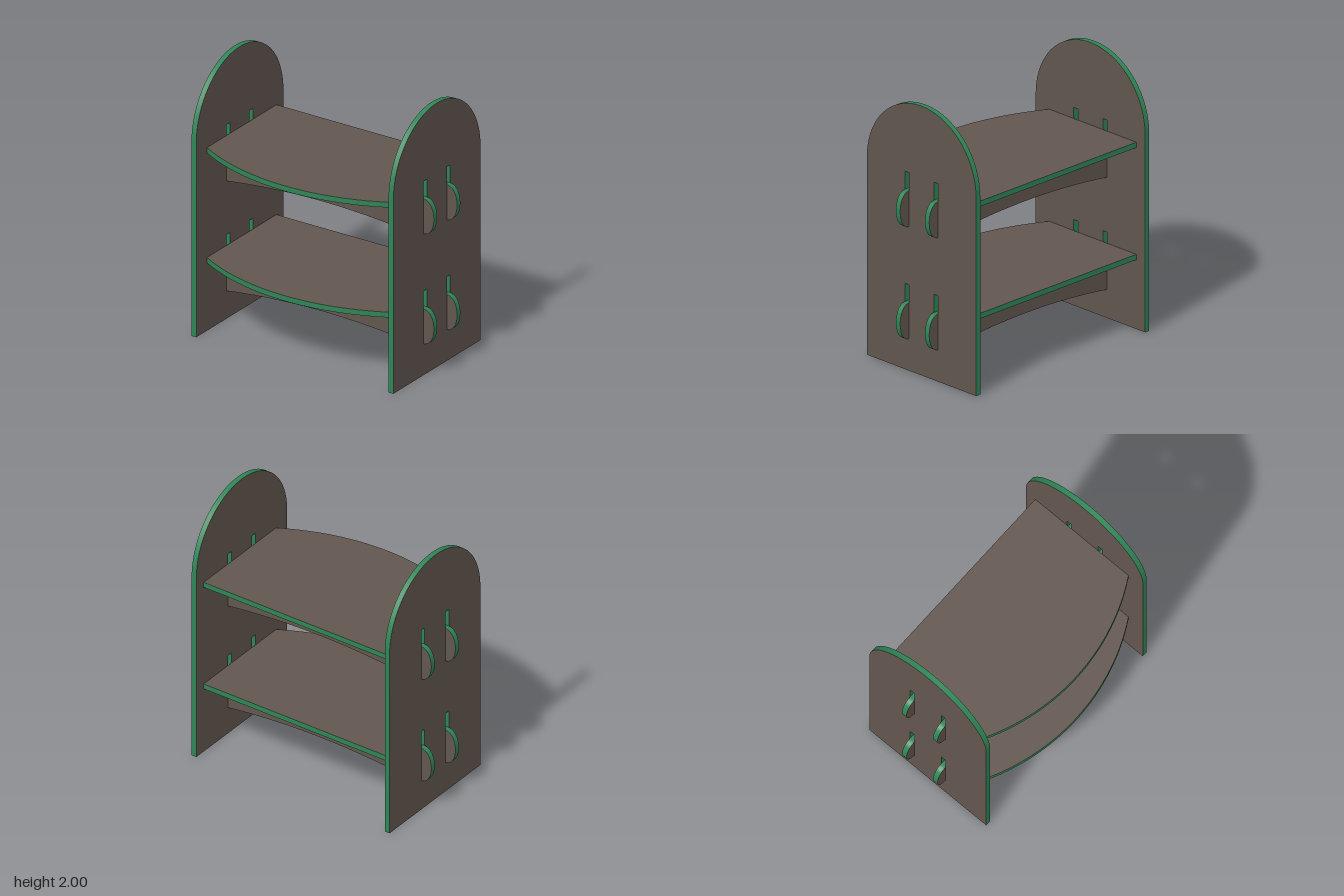
import * as THREE from 'three';
import { toCreasedNormals } from 'three/addons/utils/BufferGeometryUtils.js';

const T = 0.04;                      // board thickness
const BEAM_Z = [0.1, -0.183];        // the two beams under each shelf
const SHELF_TOP = [0.555, 1.388];

function rect(x0, y0, x1, y1, Type = THREE.Shape) {
  const s = new Type();
  s.moveTo(x0, y0);
  s.lineTo(x1, y0);
  s.lineTo(x1, y1);
  s.lineTo(x0, y1);
  s.closePath();
  return s;
}

function board(shape, depth) {
  const g = new THREE.ExtrudeGeometry(shape, { depth, bevelEnabled: false, curveSegments: 32 });
  return toCreasedNormals(g, 0.6);
}

export function createModel() {
  const face = new THREE.MeshStandardMaterial({ color: 0x62564f });
  face.name = 'brown face';
  const edge = new THREE.MeshStandardMaterial({ color: 0x2f8557 });
  edge.name = 'green edge';

  const model = new THREE.Group();
  model.name = 'shelfUnit';
  const add = (name, geometry, material, parent = model) => {
    const m = new THREE.Mesh(geometry, material);
    m.name = name;
    parent.add(m);
    return m;
  };

  // Side panel outline in (-z, y): round top and four slots
  const side = new THREE.Shape();
  side.moveTo(-0.49, 0);
  side.lineTo(0.575, 0);
  side.lineTo(0.575, 1.4675);
  side.absarc(0.0425, 1.4675, 0.5325, 0, Math.PI, false);
  side.closePath();
  for (const top of SHELF_TOP) {
    for (const z of BEAM_Z) {
      side.holes.push(rect(-z - T / 2, top - 0.188, -z + T / 2, top + 0.082, THREE.Path));
    }
  }
  const sideGeo = board(side, T).rotateY(Math.PI / 2);
  for (const s of [1, -1]) {
    const x = s > 0 ? 0.8 : -0.8 - T;
    add(s > 0 ? 'leftPanel' : 'rightPanel', sideGeo, [face, edge]).position.x = x;
  }

  // Shelf outline in (x, z): straight back, bowed front, four slots
  const shelf = new THREE.Shape();
  const sag = 0.215, R = (0.64 + sag * sag) / (2 * sag), a = Math.asin(0.8 / R);
  shelf.moveTo(-0.8, -0.49);
  shelf.lineTo(0.8, -0.49);
  shelf.lineTo(0.8, 0.36);
  shelf.absarc(0, 0.575 - R, R, Math.PI / 2 - a, Math.PI / 2 + a, false);
  shelf.closePath();
  for (const z of BEAM_Z) {
    for (const x of [-0.6, 0.2]) {
      shelf.holes.push(rect(x, z - T / 2, x + 0.4, z + T / 2, THREE.Path));
    }
  }
  const shelfGeo = board(shelf, T).rotateX(Math.PI / 2);

  // Beam in (x, y), measured from the shelf top: arched underside, two tenons on top
  const beam = new THREE.Shape();
  beam.moveTo(-0.8, -0.345);
  beam.quadraticCurveTo(0, -0.237, 0.8, -0.345);
  for (const [x, y] of [[0.8, -T], [0.6, -T], [0.6, 0], [0.2, 0], [0.2, -T],
    [-0.2, -T], [-0.2, 0], [-0.6, 0], [-0.6, -T], [-0.8, -T]]) beam.lineTo(x, y);
  beam.closePath();
  const beamGeo = board(beam, T).translate(0, 0, -T / 2);

  // Hooked end: a neck through the panel slot and a rounded head outside it
  const hook = new THREE.Shape();
  hook.moveTo(0.8, -0.188);
  hook.lineTo(0.84, -0.188);
  hook.lineTo(0.84, -0.318);
  hook.bezierCurveTo(0.89, -0.318, 0.925, -0.262, 0.925, -0.185);
  hook.bezierCurveTo(0.925, -0.108, 0.89, -0.053, 0.84, -0.053);
  hook.lineTo(0.8, -0.053);
  hook.closePath();
  const hookGeo = board(hook, T).translate(0, 0, -T / 2);

  SHELF_TOP.forEach((top, i) => {
    const tier = new THREE.Group();
    tier.name = i ? 'upperTier' : 'lowerTier';
    tier.position.y = top;
    model.add(tier);
    add('shelf', shelfGeo, [face, edge], tier);
    BEAM_Z.forEach((z, j) => {
      const support = new THREE.Group();
      support.name = j ? 'backSupport' : 'frontSupport';
      support.position.z = z;
      tier.add(support);
      add('beam', beamGeo, face, support);
      add('leftHook', hookGeo, [face, edge], support);
      add('rightHook', hookGeo, [face, edge], support).rotation.y = Math.PI;
    });
  });
  return model;
}
